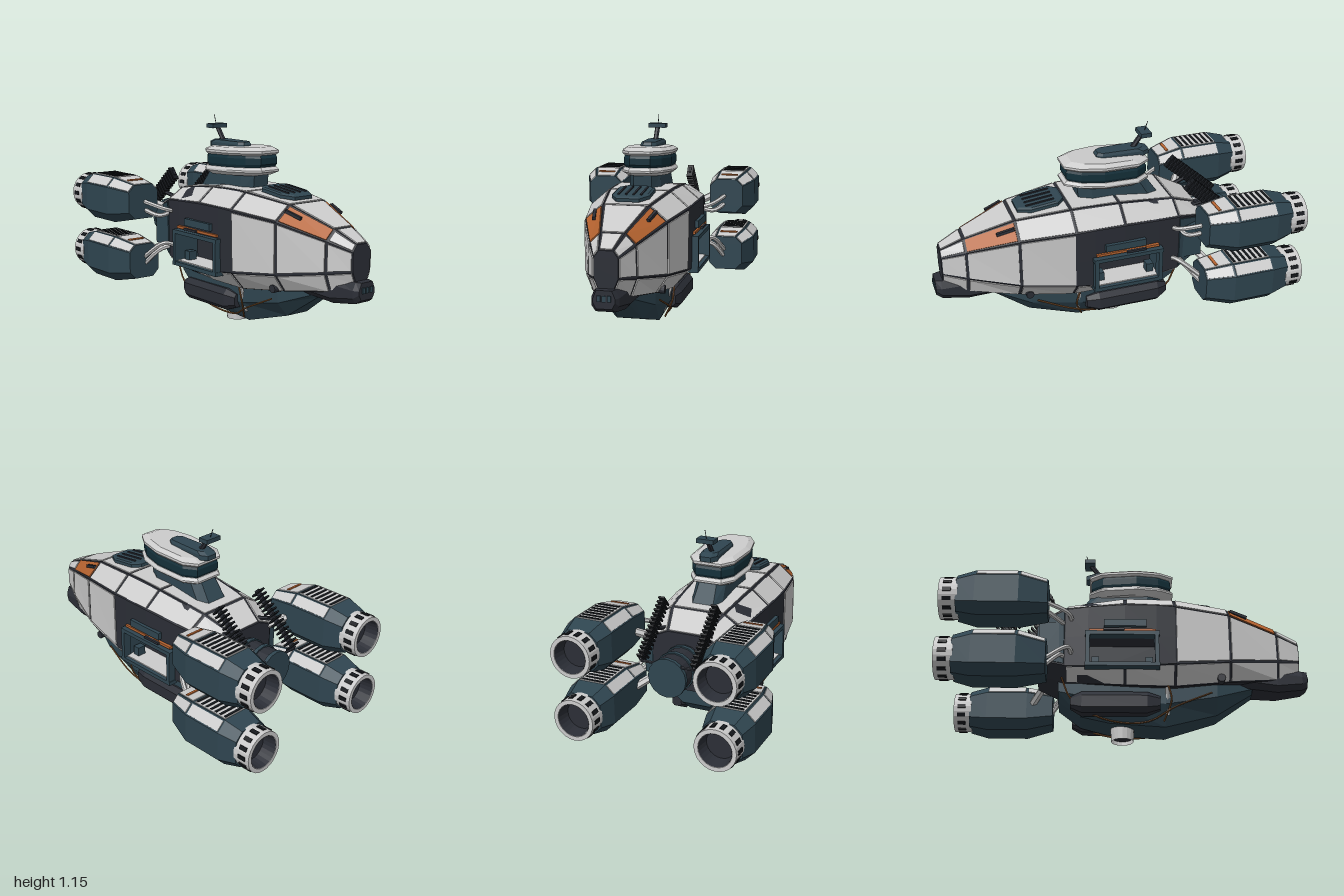
import * as THREE from 'three';

const mat = (color) => new THREE.MeshStandardMaterial({ color, flatShading: true, side: THREE.DoubleSide });
const LIGHT = mat(0xcccccc), TEAL = mat(0x2f4550), DARK = mat(0x2b2e36), ORANGE = mat(0xb4622f),
  GLASS = mat(0x14303a), BLACK = mat(0x15181c), COPPER = mat(0x8a5a30);
const V = (x, y, z) => new THREE.Vector3(x, y, z);

function add(parent, name, geo, material, pos) {
  const m = new THREE.Mesh(geo, material);
  m.name = name;
  if (pos) m.position.set(...pos);
  parent.add(m);
  return m;
}
const box = (p, name, size, pos, material) => add(p, name, new THREE.BoxGeometry(...size), material, pos);

function rod(p, name, a, b, r, material, sides = 8) {
  const d = b.clone().sub(a);
  const m = add(p, name, new THREE.CylinderGeometry(r, r, d.length(), sides), material);
  m.position.copy(a).addScaledVector(d, 0.5);
  m.quaternion.setFromUnitVectors(V(0, 1, 0), d.normalize());
  return m;
}
const tube = (p, name, pts, r, material) =>
  add(p, name, new THREE.TubeGeometry(new THREE.CatmullRomCurve3(pts), 20, r, 6), material);

// Triangles from a list of quads, each corner counter-clockwise
function quadGeometry(quads) {
  const pos = [];
  for (const [a, b, c, d] of quads) for (const v of [a, b, c, a, c, d]) pos.push(v.x, v.y, v.z);
  const g = new THREE.BufferGeometry();
  g.setAttribute('position', new THREE.Float32BufferAttribute(pos, 3));
  g.computeVertexNormals();
  return g;
}
// Symmetric cross-section at x from [y, half width] rows, top to bottom
const ring = (x, rows, zc = 0) => [
  ...rows.map(([y, w]) => V(x, y, zc + w)), ...rows.slice().reverse().map(([y, w]) => V(x, y, zc - w))];
// Horizontal outline from [x, half width] columns, with a slope along x
const plan = (y, cols, s = 1, slope = 0) => [
  ...cols.map(([x, w]) => V(x * s, y + slope * x, w * s)),
  ...cols.slice().reverse().map(([x, w]) => V(x * s, y + slope * x, -w * s))];
const cell = (rings, k, i) => {
  const j = (i + 1) % rings[k].length;
  return [rings[k][i], rings[k][j], rings[k + 1][j], rings[k + 1][i]];
};
function loft(rings, skip = () => false) {
  const quads = [], n = rings[0].length;
  for (let k = 0; k < rings.length - 1; k++)
    for (let i = 0; i < n; i++) if (!skip(k, i)) quads.push(cell(rings, k, i));
  const first = rings[0], last = rings[rings.length - 1];
  for (let i = 0; i < n / 2 - 1; i++) {
    quads.push([last[i], last[i + 1], last[n - 2 - i], last[n - 1 - i]]);
    quads.push([first[n - 1 - i], first[n - 2 - i], first[i + 1], first[i]]);
  }
  return quadGeometry(quads);
}
// Raised plate on one cell of a loft, leaving a seam around it
function plate(p, name, q, material, gap = 0.008, lift = 0.006) {
  const [a, b, c, d] = q;
  const n = c.clone().sub(a).cross(d.clone().sub(b)).normalize();
  const u = gap / Math.max(0.03, (a.distanceTo(b) + c.distanceTo(d)) / 2);
  const v = gap / Math.max(0.03, (a.distanceTo(d) + b.distanceTo(c)) / 2);
  const at = (s, t) => a.clone().lerp(b, s).lerp(d.clone().lerp(c, s), t);
  const lo = [at(u, v), at(1 - u, v), at(1 - u, 1 - v), at(u, 1 - v)];
  const hi = lo.map((w) => w.clone().addScaledVector(n, lift));
  const quads = [hi];
  for (let i = 0; i < 4; i++) quads.push([lo[i], lo[(i + 1) % 4], hi[(i + 1) % 4], hi[i]]);
  add(p, name, quadGeometry(quads), material);
}

function buildHull(root) {
  const g = new THREE.Group(); g.name = 'hull'; root.add(g);
  // x, heights (top, shoulder, low, bottom), half widths at the same rows
  const stations = [
    [-0.50, 0.66, 0.62, 0.40, 0.34, 0.10, 0.19, 0.19, 0.10],
    [-0.34, 0.735, 0.67, 0.34, 0.28, 0.15, 0.255, 0.25, 0.16],
    [-0.22, 0.755, 0.68, 0.335, 0.265, 0.165, 0.27, 0.265, 0.18],
    [-0.02, 0.775, 0.69, 0.335, 0.255, 0.175, 0.28, 0.275, 0.185],
    [0.15, 0.78, 0.69, 0.34, 0.25, 0.17, 0.277, 0.272, 0.185],
    [0.25, 0.775, 0.685, 0.35, 0.25, 0.165, 0.27, 0.265, 0.18],
    [0.55, 0.74, 0.66, 0.385, 0.29, 0.12, 0.215, 0.215, 0.15],
    [0.82, 0.645, 0.59, 0.43, 0.33, 0.06, 0.115, 0.12, 0.085],
    [0.95, 0.585, 0.55, 0.45, 0.39, 0.035, 0.06, 0.06, 0.035]];
  const rings = stations.map(([x, t, s, l, b, wt, ws, wl, wb]) =>
    ring(x, [[t, wt], [s, ws], [0.505, (ws + wl) / 2], [l, wl], [b, wb]]));
  add(g, 'hullCore', loft(rings, (k, i) => (k === 2 || k === 3) && (i === 2 || i === 6)), DARK);
  // Upper and lower plating, following the wide seams
  const spans = [[0, 1], [1, 3], [3, 5], [5, 6], [6, 7], [7, 8]];
  for (const [a, b] of spans) {
    const pair = [rings[a], rings[b]];
    plate(g, 'roofPlate', cell(pair, 0, 9), LIGHT);
    for (const i of [0, 8]) plate(g, 'shoulderPlate', cell(pair, 0, i), a === 6 ? ORANGE : LIGHT);
    if (a > 0) for (const i of [3, 5]) plate(g, 'lowerPlate', cell(pair, 0, i), LIGHT);
    for (const [i, j] of [[1, 3], [6, 8]]) {
      const side = [pair[0][i], pair[0][j], pair[1][j], pair[1][i]];
      if (a >= 5) plate(g, 'sidePlate', side, LIGHT);
      if (a === 0) plate(g, 'rearSidePlate', side, TEAL);
    }
  }
  // Chin under the nose
  add(g, 'chin', loft([[0.58, 0.40, 0.29, 0.12], [0.82, 0.41, 0.27, 0.09], [0.96, 0.40, 0.29, 0.07], [0.99, 0.40, 0.31, 0.055]]
    .map(([x, t, b, w]) => ring(x, [[t, w * 0.7], [t - 0.04, w], [b + 0.03, w], [b, w * 0.7]]))), DARK);
  for (let i = -1; i <= 1; i++) box(g, 'noseSensor', [0.012, 0.03, 0.018], [0.99, 0.36, i * 0.026], TEAL);
  // Roof hatch with ribs
  const hatch = new THREE.Group(); hatch.name = 'roofHatch'; g.add(hatch);
  hatch.position.set(0.39, 0.768, 0); hatch.rotation.z = -0.115;
  const outline = [[-0.13, 0.06], [-0.09, 0.1], [0.06, 0.1], [0.13, 0.06]];
  add(hatch, 'hatchLid', loft([plan(0, outline), plan(0.018, outline), plan(0.025, outline, 0.9)]), TEAL);
  for (const z of [-0.06, -0.02, 0.02, 0.06]) box(hatch, 'hatchRib', [0.16, 0.008, 0.01], [0, 0.027, z], DARK);

  // Side bays, sensors and small fittings
  for (const s of [1, -1]) {
    const bay = new THREE.Group(); bay.name = s > 0 ? 'leftBay' : 'rightBay'; g.add(bay);
    box(bay, 'bayBackWall', [0.38, 0.17, 0.01], [-0.035, 0.42, s * 0.14], DARK);
    box(bay, 'bayFloor', [0.38, 0.01, 0.15], [-0.035, 0.34, s * 0.21], LIGHT);
    box(bay, 'bayCeiling', [0.38, 0.01, 0.15], [-0.035, 0.505, s * 0.21], DARK);
    for (const x of [-0.22, 0.15]) {
      box(bay, 'bayWall', [0.01, 0.17, 0.14], [x, 0.42, s * 0.21], TEAL);
      box(bay, 'bayPost', [0.022, 0.2, 0.05], [x, 0.42, s * 0.283], TEAL);
    }
    for (const y of [0.328, 0.51]) box(bay, 'bayRail', [0.4, 0.022, 0.055], [-0.035, y, s * 0.28], TEAL);
    for (const x of [-0.18, 0.11]) box(bay, 'bayCrate', [0.04, 0.05, 0.05], [x, 0.37, s * 0.22], TEAL);
    box(bay, 'bayStripe', [0.36, 0.014, 0.02], [-0.035, 0.535, s * 0.278], ORANGE);
    box(bay, 'baySign', [0.23, 0.04, 0.025], [-0.02, 0.575, s * 0.284], TEAL);
    box(bay, 'bayLamp', [0.11, 0.012, 0.035], [-0.08, 0.535, s * 0.284], DARK);
    const sensor = box(g, 'shoulderSensor', [0.1, 0.016, 0.016], [0.61, 0.70, s * 0.15], DARK);
    sensor.rotation.set(0, s * 0.2, -0.3);
    const port = add(g, 'sidePort', new THREE.CylinderGeometry(0.022, 0.022, 0.05, 12), DARK, [0.5, 0.3, s * 0.17]);
    port.rotation.x = Math.PI / 2;
    box(g, 'rearSideBlock', [0.13, 0.2, 0.05], [-0.42, 0.5, s * 0.22], TEAL);
  }
}

function buildBelly(root) {
  const g = new THREE.Group(); g.name = 'belly'; root.add(g);
  add(g, 'keel', loft([
    [-0.38, 0.24, 0.20, 0.13, 0.08], [-0.26, 0.2, 0.11, 0.17, 0.09], [-0.1, 0.17, 0.07, 0.17, 0.10],
    [0.2, 0.16, 0.05, 0.16, 0.10], [0.48, 0.21, 0.13, 0.14, 0.07], [0.68, 0.285, 0.265, 0.07, 0.04]]
    .map(([x, m, b, w, wb]) => ring(x, [[0.31, w], [m, w], [b, wb]]))), TEAL);
  add(g, 'ventralThruster', new THREE.CylinderGeometry(0.065, 0.06, 0.07, 16, 1, true), LIGHT, [-0.03, 0.035, 0]);
  add(g, 'thrusterCore', new THREE.CylinderGeometry(0.055, 0.055, 0.05, 16), DARK, [-0.03, 0.045, 0]);
  for (const s of [1, -1]) {
    add(g, 'sidePod', loft([[-0.31, 0.5], [-0.25, 1], [0.1, 1], [0.17, 0.6]].map(([x, k]) =>
      ring(x, [[0.17 + 0.05 * k, 0.03 * k], [0.17 + 0.02 * k, 0.055 * k], [0.165 - 0.04 * k, 0.055 * k], [0.165 - 0.065 * k, 0.03 * k]],
        s * 0.15))), DARK);
    rod(g, 'landingStrut', V(0.21, 0.28, s * 0.175), V(0.21, 0.11, s * 0.125), 0.012, LIGHT);
    tube(g, 'cable', [V(-0.36, 0.3, s * 0.18), V(-0.3, 0.17, s * 0.17), V(-0.12, 0.08, s * 0.13), V(0.1, 0.07, s * 0.125),
      V(0.25, 0.14, s * 0.172), V(0.45, 0.23, s * 0.155)], 0.005, COPPER);
    tube(g, 'cableLoop', [V(0.2, 0.29, s * 0.185), V(0.23, 0.18, s * 0.18), V(0.19, 0.07, s * 0.13)], 0.005, COPPER);
  }
}

function buildBridge(root) {
  const g = new THREE.Group(); g.name = 'bridge'; root.add(g);
  add(g, 'neck', loft([plan(0.75, [[-0.28, 0.06], [-0.22, 0.09], [0.1, 0.09], [0.17, 0.05]]),
    plan(0.85, [[-0.21, 0.05], [-0.16, 0.085], [0.11, 0.085], [0.18, 0.05]])]), TEAL);
  const o = [[-0.22, 0.08], [-0.15, 0.13], [0.05, 0.14], [0.18, 0.11], [0.255, 0.06]];
  const layer = (name, steps, m) => add(g, name, loft(steps.map(([y, s]) => plan(y, o, s, 0.04))), m);
  layer('lowerDeck', [[0.838, 0.8], [0.86, 1], [0.87, 1], [0.885, 0.93]], LIGHT);
  layer('windowBand', [[0.882, 0.9], [0.9, 0.95], [0.935, 0.95], [0.955, 0.9]], GLASS);
  layer('roof', [[0.95, 0.93], [0.962, 1], [0.975, 1], [0.992, 0.82]], LIGHT);
  // Roof housing and antenna
  const h = [[-0.24, 0.03], [-0.2, 0.052], [0.03, 0.045], [0.06, 0.025]];
  add(g, 'roofHousing', loft([plan(0.975, h), plan(1.002, h), plan(1.017, h, 0.85)]), TEAL);
  rod(g, 'antennaMast', V(-0.15, 1.0, 0), V(-0.215, 1.09, 0), 0.014, DARK, 6);
  box(g, 'antennaHead', [0.06, 0.024, 0.1], [-0.22, 1.09, 0], TEAL);
  rod(g, 'antennaWhip', V(-0.225, 1.1, 0), V(-0.243, 1.152, 0), 0.002, DARK, 5);
}

function buildEngine(root, yc, s) {
  const g = new THREE.Group(); g.name = 'engine'; root.add(g);
  const zc = s * 0.39;
  const rings = [[-0.91, 0.105, 0], [-0.81, 0.13, 0], [-0.58, 0.13, 0], [-0.43, 0.098, -0.02]].map(([x, h, dz]) => {
    const c = h * 0.4;
    return ring(x, [[yc + h, h - c], [yc + h - c, h], [yc - h + c, h], [yc - h, h - c]], zc + s * dz);
  });
  add(g, 'engineBody', loft(rings), TEAL);
  for (const k of [1, 2]) for (const i of [7, 0, 6]) plate(g, 'engineTopPlate', cell(rings, k, i), LIGHT, 0.007, 0.004);
  for (let i = 0; i < 7; i++) box(g, 'vent', [0.014, 0.008, 0.125], [-0.79 + i * 0.032, yc + 0.133, zc], BLACK);
  const stripe = box(g, 'engineStripe', [0.016, 0.01, 0.1], [-0.5, yc + 0.117, zc - s * 0.01], ORANGE);
  stripe.rotation.z = -0.21;
  // Nozzle, open at the rear, with slots around the rim
  const profile = [[0.07, 0], [0.112, 0], [0.112, 0.1], [0.09, 0.1], [0.08, 0.02], [0, 0.015]]
    .map(([r, y]) => new THREE.Vector2(r, y));
  const nozzle = new THREE.Group(); nozzle.name = 'nozzle'; g.add(nozzle);
  nozzle.position.set(-0.9, yc, zc); nozzle.rotation.z = Math.PI / 2;
  add(nozzle, 'nozzleRing', new THREE.LatheGeometry(profile, 24), LIGHT);
  add(nozzle, 'nozzleLining', new THREE.CylinderGeometry(0.088, 0.078, 0.075, 24, 1, true), DARK, [0, 0.062, 0]);
  add(nozzle, 'nozzleCore', new THREE.CylinderGeometry(0.078, 0.078, 0.005, 24), DARK, [0, 0.022, 0]);
  for (let i = 0; i < 14; i++) {
    const a = (i / 14) * Math.PI * 2;
    const slot = box(nozzle, 'nozzleSlot', [0.022, 0.045, 0.008], [Math.sin(a) * 0.112, 0.055, Math.cos(a) * 0.112], BLACK);
    slot.rotation.y = a;
  }
  // Pylons to the hull
  const inY = yc > 0.5 ? 0.6 : 0.4;
  for (const d of [-0.02, 0.025])
    tube(g, 'pylonPipe', [V(-0.33 + d, inY, s * 0.22), V(-0.35 + d, inY + d, s * 0.3), V(-0.46, yc - 0.02 + d, s * 0.37)], 0.013, LIGHT);
  rod(g, 'pylonBrace', V(-0.47, inY, s * 0.17), V(-0.56, yc, s * 0.3), 0.022, LIGHT, 6);
}

function buildRear(root) {
  const g = new THREE.Group(); g.name = 'rearDrive'; root.add(g);
  const drum = (name, r, len, x, m) => { add(g, name, new THREE.CylinderGeometry(r, r, len, 16), m, [x, 0.5, 0]).rotation.z = Math.PI / 2; };
  drum('driveDrum', 0.1, 0.24, -0.6, DARK);
  for (const x of [-0.53, -0.62, -0.71]) drum('driveBand', 0.107, 0.022, x, TEAL);
  // Tilted radiator combs
  for (const s of [1, -1]) {
    const comb = new THREE.Group(); comb.name = 'radiator'; g.add(comb);
    comb.position.set(-0.57, 0.69, s * 0.15); comb.rotation.z = 0.72;
    box(comb, 'radiatorSpine', [0.37, 0.03, 0.012], [0, 0, 0], DARK);
    for (let i = 0; i < 15; i++) box(comb, 'radiatorFin', [0.01, 0.08, 0.035], [-0.17 + i * 0.0243, 0, 0], BLACK);
    rod(g, 'radiatorArm', V(-0.45, 0.66, s * 0.13), V(-0.56, 0.69, s * 0.15), 0.012, DARK, 6);
  }
  rod(g, 'radiatorCrossbar', V(-0.71, 0.57, -0.15), V(-0.71, 0.57, 0.15), 0.008, DARK, 6);
}

export function createModel() {
  const root = new THREE.Group(); root.name = 'spaceship';
  buildHull(root);
  buildBelly(root);
  buildBridge(root);
  for (const y of [0.66, 0.313]) for (const s of [1, -1]) buildEngine(root, y, s);
  buildRear(root);
  return root;
}
